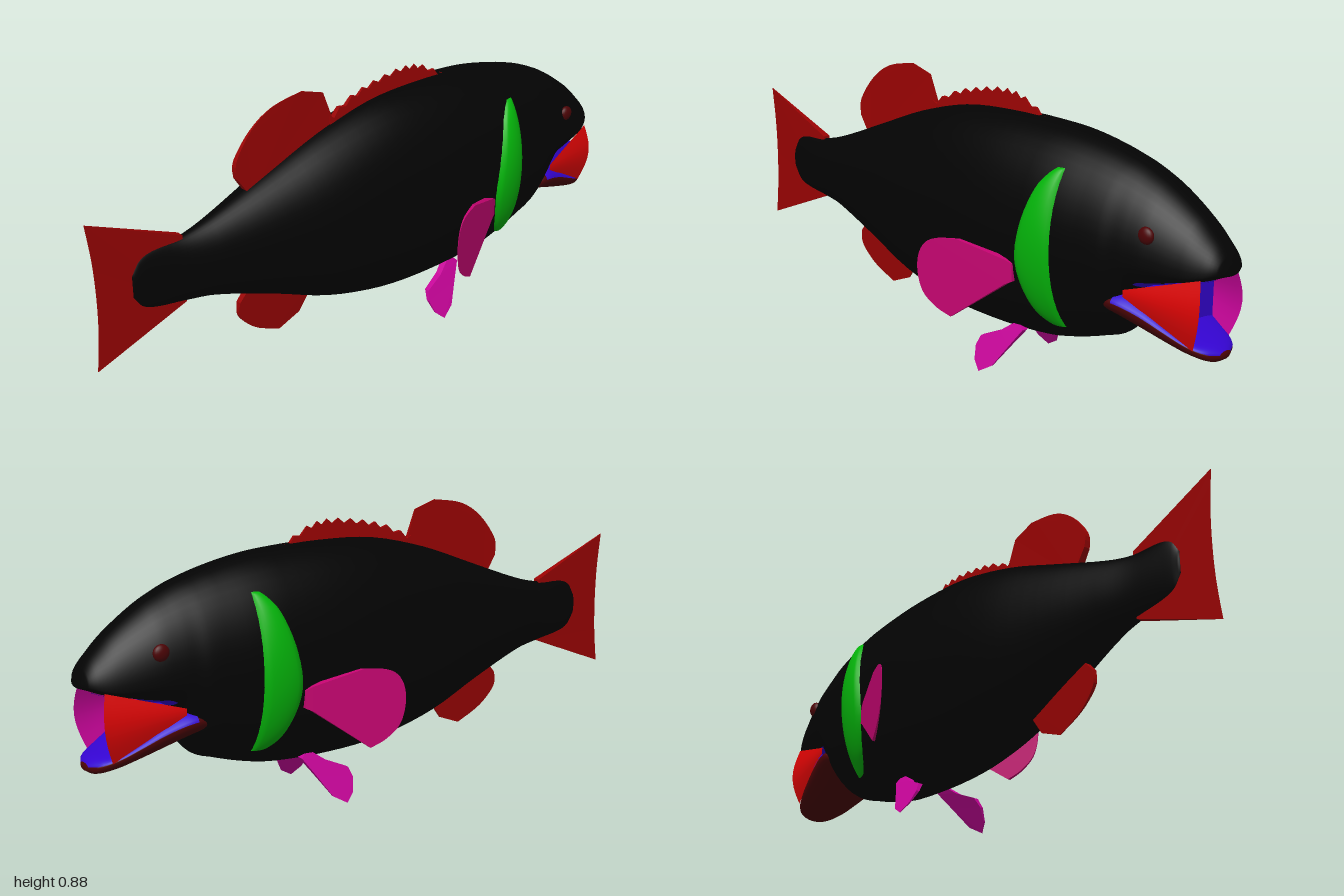
import * as THREE from 'three';

const mat = (name, color) => {
  const m = new THREE.MeshStandardMaterial({ color });
  m.name = name;
  return m;
};

// Body sections: z, top, bottom, half width, height of the widest point
const BODY = [
  [-1.0, 0.49, 0.465, 0.03, 0.475], [-0.985, 0.525, 0.46, 0.06, 0.475],
  [-0.95, 0.565, 0.445, 0.085, 0.465], [-0.9, 0.612, 0.43, 0.107, 0.46],
  [-0.8, 0.68, 0.4, 0.138, 0.47], [-0.74, 0.71, 0.375, 0.152, 0.47],
  [-0.7, 0.727, 0.27, 0.16, 0.47], [-0.66, 0.74, 0.215, 0.17, 0.47],
  [-0.6, 0.757, 0.19, 0.18, 0.47], [-0.5, 0.778, 0.158, 0.195, 0.47],
  [-0.4, 0.79, 0.137, 0.203, 0.465], [-0.2, 0.797, 0.127, 0.205, 0.46],
  [0, 0.785, 0.138, 0.19, 0.46], [0.2, 0.735, 0.185, 0.165, 0.455],
  [0.4, 0.66, 0.265, 0.12, 0.46], [0.6, 0.585, 0.335, 0.068, 0.46],
  [0.7, 0.56, 0.353, 0.042, 0.46], [0.8, 0.557, 0.367, 0.024, 0.46],
  [0.845, 0.54, 0.385, 0.016, 0.46], [0.87, 0.5, 0.42, 0.01, 0.46],
];
const JAW = [
  [-0.99, 0.243, 0.225, 0.02, 0.235], [-0.97, 0.258, 0.214, 0.06, 0.243],
  [-0.92, 0.275, 0.22, 0.09, 0.262], [-0.86, 0.31, 0.235, 0.11, 0.29],
  [-0.78, 0.36, 0.258, 0.13, 0.325], [-0.7, 0.385, 0.285, 0.145, 0.345],
  [-0.64, 0.36, 0.3, 0.13, 0.33],
];

// Smooth (Hermite) section at any z
function section(rows, z) {
  let i = 0;
  while (i < rows.length - 2 && z > rows[i + 1][0]) i++;
  const a = rows[i], b = rows[i + 1], h = b[0] - a[0], t = (z - a[0]) / h;
  const slope = (n, k) => {
    const p = rows[Math.max(n - 1, 0)], q = rows[Math.min(n + 1, rows.length - 1)];
    return (q[k] - p[k]) / (q[0] - p[0]);
  };
  return a.map((v, k) => k === 0 ? z :
    v * (2 * t ** 3 - 3 * t * t + 1) + b[k] * (3 * t * t - 2 * t ** 3) +
    h * slope(i, k) * (t ** 3 - 2 * t * t + t) + h * slope(i + 1, k) * (t ** 3 - t * t));
}

function bodyX(z, y) {
  const [, top, bot, w, mid] = section(BODY, z);
  const s = (y - mid) / (y > mid ? top - mid : mid - bot);
  return w * Math.sqrt(Math.max(0, 1 - s * s));
}

// Point on a section at angle a, k = 0 at its middle
function ringPoint([z, top, bot, w, mid], a, k = 1) {
  const s = Math.sin(a);
  return [k * w * Math.cos(a), mid + k * s * (s > 0 ? top - mid : mid - bot), z];
}

// Surface through rows of points
function grid(rows, closed = false, flip = false) {
  const n = rows[0].length, index = [];
  for (let i = 0; i < rows.length - 1; i++) {
    for (let j = 0; j < (closed ? n : n - 1); j++) {
      const k = (j + 1) % n, a = i * n + j, b = i * n + k, c = a + n, d = b + n;
      index.push(...(flip ? [a, c, b, b, c, d] : [a, b, c, b, d, c]));
    }
  }
  const g = new THREE.BufferGeometry();
  g.setAttribute('position', new THREE.Float32BufferAttribute(rows.flat(2), 3));
  g.setIndex(index);
  g.computeVertexNormals();
  return g;
}

function loft(stations, sides = 48, steps = 4) {
  const rows = [];
  const ring = (st, k) => rows.push(Array.from({ length: sides }, (_, j) => ringPoint(st, (j / sides) * Math.PI * 2, k)));
  ring(stations[0], 0);
  stations.forEach((st, i) => {
    ring(st);
    const next = stations[i + 1];
    for (let k = 1; next && k < steps; k++) ring(section(stations, st[0] + (next[0] - st[0]) * k / steps));
  });
  ring(stations[stations.length - 1], 0);
  return grid(rows, true);
}

// Thin skin over part of a loft: z range, angle range, vertical offset
function skin(stations, z0, z1, a0, a1, dy) {
  return grid(Array.from({ length: 21 }, (_, i) => {
    const st = section(stations, z0 + (z1 - z0) * i / 20);
    return Array.from({ length: 17 }, (_, j) => {
      const [x, y, z] = ringPoint(st, a0 + (a1 - a0) * j / 16);
      return [x * 1.01, y + dy, z];
    });
  }));
}

// Flat fin drawn as [z, y] points; shape(p) then tapers or slants it
function fin(points, thickness, shape) {
  const s = new THREE.Shape(points.map(([z, y]) => new THREE.Vector2(z, y)));
  const g = new THREE.ExtrudeGeometry(s, { depth: thickness, bevelEnabled: false });
  g.translate(0, 0, -thickness / 2).rotateY(-Math.PI / 2);
  const pos = g.attributes.position, p = new THREE.Vector3();
  for (let i = 0; i < pos.count; i++) {
    shape(p.fromBufferAttribute(pos, i));
    pos.setXYZ(i, p.x, p.y, p.z);
  }
  g.computeVertexNormals();
  return g;
}

const curve = (pts, n = 28) => new THREE.SplineCurve(pts.map(p => new THREE.Vector2(...p)))
  .getPoints(n).map(v => [v.x, v.y]);

// Mirrored copy across x = 0 with corner order kept outward
function mirror(geo) {
  const g = geo.index ? geo.toNonIndexed() : geo.clone();
  for (const name of ['position', 'normal']) {
    const a = g.attributes[name], v = new THREE.Vector3(), w = new THREE.Vector3();
    for (let i = 0; i < a.count; i += 3) {
      v.fromBufferAttribute(a, i + 1);
      w.fromBufferAttribute(a, i + 2);
      a.setXYZ(i + 1, w.x, w.y, w.z);
      a.setXYZ(i + 2, v.x, v.y, v.z);
    }
    for (let i = 0; i < a.count; i++) a.setX(i, -a.getX(i));
  }
  return g;
}

export function createModel() {
  const black = mat('bodyBlack', 0x030303), finRed = mat('finRed', 0x9a0303);
  const mouthRed = mat('mouthRed', 0xdc0404), jawRed = mat('jawDarkRed', 0x4c0305);
  const green = mat('gillGreen', 0x04b40a), pink = mat('pectoralPink', 0xc40470);
  const magenta = mat('pelvicMagenta', 0xc60498), blue = mat('throatBlue', 0x3404d0);
  const model = new THREE.Group();
  const add = (name, geo, material) => {
    const m = new THREE.Mesh(geo, material);
    m.name = name;
    model.add(m);
  };
  const pair = (name, geo, material) => {
    add(name + 'Left', geo, material);
    add(name + 'Right', mirror(geo), material);
  };
  const clamp = (v) => THREE.MathUtils.clamp(v, 0.08, 1);

  add('body', loft(BODY), black);
  add('lowerJaw', loft(JAW), jawRed);

  // Median fins, thinning toward the edge
  add('tailFin', fin([[0.7, 0.567], ...curve([[1, 0.695], [0.987, 0.58], [0.983, 0.465], [0.987, 0.35], [1, 0.235]], 16),
    [0.7, 0.353]], 0.024, p => { p.x *= clamp((1 - p.z) / 0.3); }), finRed);
  add('rearDorsalFin', fin([[0.14, 0.7], [0.14, 0.77], [0.17, 0.855], ...curve([[0.25, 0.88], [0.36, 0.86], [0.44, 0.81],
    [0.5, 0.73], [0.5, 0.675]], 16), [0.45, 0.6]], 0.026, p => { p.x *= clamp((0.88 - p.y) / 0.25); }), finRed);
  add('analFin', fin([[0.22, 0.25], [0.24, 0.21], [0.28, 0.15], ...curve([[0.36, 0.118], [0.45, 0.16], [0.51, 0.22],
    [0.51, 0.27]], 14), [0.45, 0.34]], 0.026, p => { p.x *= clamp((p.y - 0.12) / 0.22); }), finRed);

  // Scalloped front dorsal fin
  const crest = curve([[0.15, 0.775], [0.05, 0.82], [-0.05, 0.845], [-0.15, 0.857], [-0.23, 0.845], [-0.32, 0.795]], 22);
  const spines = crest.map(([z, y], i) => [z, y - (i % 2 ? 0.016 : 0)]);
  add('frontDorsalFin', fin([...spines, [-0.3, 0.74], [0.15, 0.7]], 0.024,
    p => { p.x *= clamp((0.86 - p.y) / 0.12); }), finRed);

  // Paired fins
  pair('pectoralFin', fin([[-0.38, 0.4], [-0.36, 0.41], ...curve([[-0.22, 0.453], [-0.145, 0.445], [-0.11, 0.41], [-0.1, 0.35],
    [-0.115, 0.28], [-0.155, 0.235], [-0.2, 0.21]]), [-0.36, 0.335], [-0.38, 0.345]], 0.024, p => {
    p.x = p.x * clamp((-0.08 - p.z) / 0.28) + 0.2 + (p.z + 0.36) * 0.44;
  }), pink);
  pair('pelvicFin', fin([[-0.3, 0.175], [-0.325, 0.15], [-0.29, 0.095], [-0.25, 0.03], [-0.205, 0.003], [-0.175, 0.03],
    [-0.163, 0.07], [-0.172, 0.1], [-0.24, 0.13]], 0.026, p => {
    p.x = p.x * clamp(p.y / 0.16) + 0.08 + (0.155 - p.y) * 0.53;
  }), magenta);

  // Domed gill bands following the flank
  const backEdge = curve([[-0.49, 0.697], [-0.465, 0.675], [-0.435, 0.63], [-0.4, 0.52], [-0.385, 0.4], [-0.42, 0.28],
    [-0.465, 0.225], [-0.5, 0.218]], 32);
  const gill = backEdge.map(([zb, y], i) => {
    const row = [], v = Math.sin(Math.PI * i / 32);
    for (let j = 0; j <= 10; j++) {
      const z = -0.515 + (zb + 0.515) * j / 10;
      row.push([bodyX(z, y) - 0.003 + 0.019 * (v * Math.sin(Math.PI * j / 10) + 1e-6) ** 0.4, y, z]);
    }
    return row;
  });
  pair('gillBand', grid(gill), green);

  // Mouth: red cheeks, magenta lining, blue throat, floor and roof
  const cheek = (inset) => {
    const rows = [];
    for (let i = 0; i <= 8; i++) {
      const u = i / 8, row = [];
      for (let j = 0; j <= 10; j++) {
        const v = j / 10, b = Math.sin(Math.PI * v);
        const y = THREE.MathUtils.lerp(0.39 + 0.07 * u, 0.37 - 0.115 * u, v);
        row.push([0.13 - 0.045 * u + 0.018 * b * u - inset, y, -0.73 - u * (0.225 - 0.015 * v + 0.02 * b)]);
      }
      rows.push(row);
    }
    return rows;
  };
  pair('mouthCheek', grid(cheek(0)), mouthRed);
  pair('mouthLining', grid(cheek(0.004), false, true), magenta);
  add('throat', new THREE.BoxGeometry(0.19, 0.13, 0.008).translate(0, 0.36, -0.87), blue);
  add('mouthFloor', skin(JAW, -0.988, -0.7, 0, Math.PI, 0.003), blue);
  add('mouthRoof', skin(BODY, -0.975, -0.745, Math.PI * 1.25, Math.PI * 1.75, -0.003), blue);

  // Eyes
  const eye = new THREE.SphereGeometry(0.025, 20, 14).scale(0.6, 1, 1).translate(bodyX(-0.8, 0.56), 0.56, -0.8);
  pair('eye', eye, jawRed);
  return model;
}
